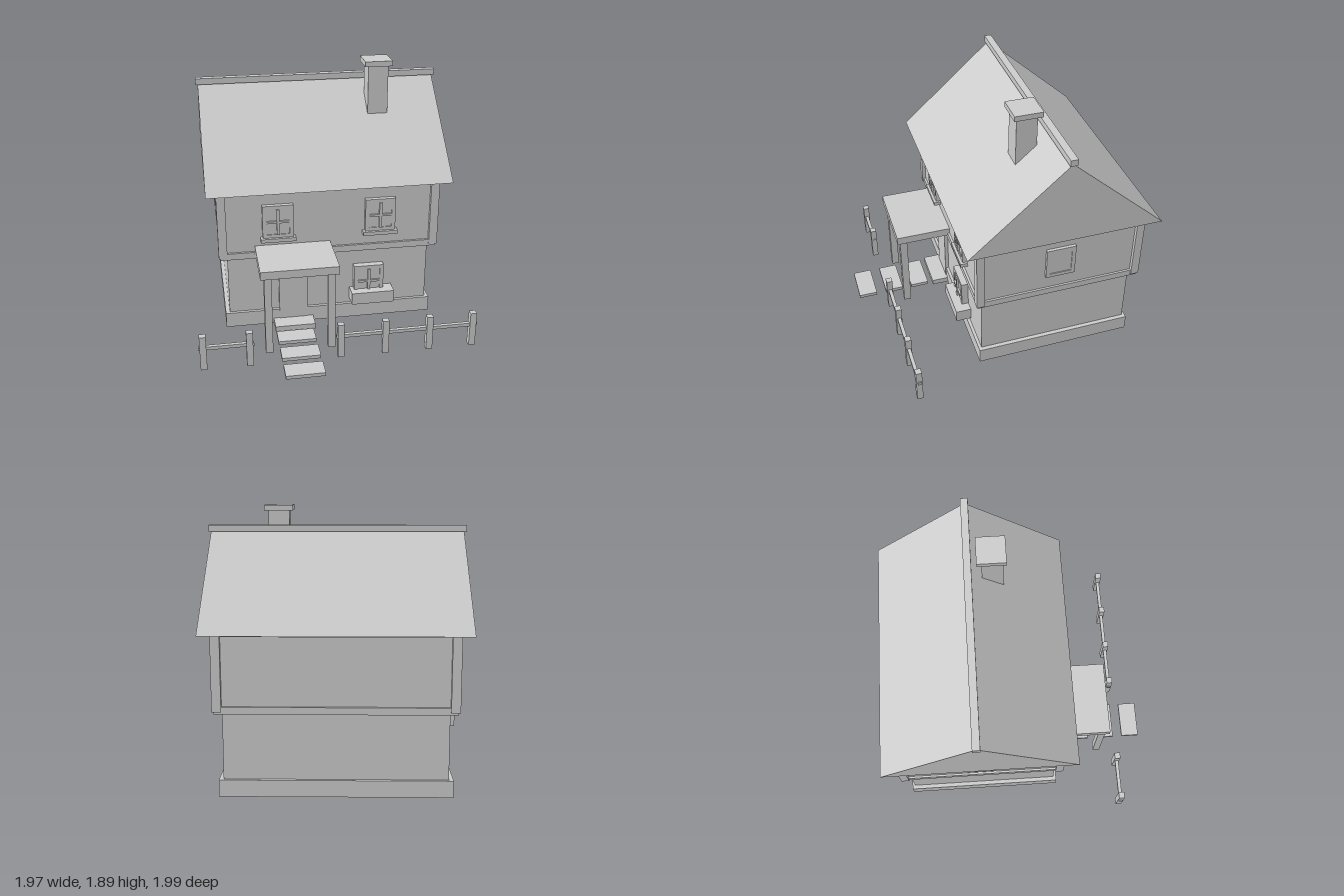
import * as THREE from 'three';

const grey = new THREE.MeshStandardMaterial({ name: 'plainGrey', color: 0xcccccc });

// Box given by its limits on each axis
function block(parent, name, [x0, x1], [y0, y1], [z0, z1]) {
  const mesh = new THREE.Mesh(new THREE.BoxGeometry(x1 - x0, y1 - y0, z1 - z0), grey);
  mesh.position.set((x0 + x1) / 2, (y0 + y1) / 2, (z0 + z1) / 2);
  mesh.name = name;
  parent.add(mesh);
  return mesh;
}

function group(parent, name) {
  const g = new THREE.Group();
  g.name = name;
  parent.add(g);
  return g;
}

const MID = -0.3; // z of the ridge and the centre of the house
const around = (half, c = 0) => [c - half, c + half];

// Window facing +z, its origin at the centre of the opening on the wall
function makeWindow(parent, name, w, h, depth, crossed) {
  const g = group(parent, name);
  const iw = w / 2 - 0.028, ih = h / 2 - 0.028;
  for (const s of [-1, 1]) {
    block(g, 'frameSide', around(0.014, s * (w / 2 - 0.014)), around(h / 2), [-0.01, depth]);
    block(g, 'frameRail', around(iw), around(0.014, s * (h / 2 - 0.014)), [-0.01, depth]);
  }
  block(g, 'glass', around(iw), around(ih), [-0.01, depth - 0.006]);
  if (crossed) {
    block(g, 'verticalBar', around(0.01), around(ih), [0, depth + 0.01]);
    block(g, 'horizontalBar', around(iw), around(0.008), [0, depth + 0.008]);
  }
  return g;
}

export function createModel() {
  const house = new THREE.Group();
  house.name = 'cottage';

  // Walls
  block(house, 'plinth', around(0.775), [0, 0.115], around(0.58, MID));
  block(house, 'lowerWalls', around(0.745), [0.115, 0.57], around(0.558, MID));
  block(house, 'upperWalls', around(0.78), [0.58, 1.1], around(0.583, MID));
  block(house, 'floorBeam', around(0.795), [0.568, 0.617], around(0.6, MID));
  for (const s of [-1, 1]) {
    block(house, 'wallPlate', around(0.78), [1.08, 1.11], around(0.02, MID + s * 0.582));
    for (const t of [-1, 1])
      block(house, 'cornerPost', around(0.031, s * 0.775), [0.585, 1.105], around(0.029, MID + t * 0.58));
  }

  // Roof: triangular section extruded along x
  const gable = new THREE.Shape();
  gable.moveTo(-0.693, 1.1);
  gable.lineTo(0.693, 1.1);
  gable.lineTo(0, 1.718);
  gable.closePath();
  const roofGeo = new THREE.ExtrudeGeometry(gable, { depth: 1.755, bevelEnabled: false });
  roofGeo.translate(0, 0, -0.8775).rotateY(Math.PI / 2);
  const roof = new THREE.Mesh(roofGeo, grey);
  roof.name = 'roof';
  roof.position.z = MID;
  house.add(roof);
  block(house, 'ridgeBeam', around(0.893), [1.715, 1.76], around(0.026, MID));

  // Chimney
  block(house, 'chimneyShaft', [0.34, 0.487], [1.45, 1.86], [-0.205, -0.058]);
  block(house, 'chimneyCap', [0.313, 0.513], [1.857, 1.895], [-0.235, -0.035]);

  // Front windows
  for (const x of [-0.376, 0.37]) {
    makeWindow(house, 'upperWindow', 0.222, 0.25, 0.033, true).position.set(x, 0.853, 0.283);
    block(house, 'windowSill', around(0.127, x), [0.702, 0.73], [0.27, 0.335]);
  }
  makeWindow(house, 'lowerWindow', 0.222, 0.25, 0.05, true).position.set(0.296, 0.315, 0.258);
  block(house, 'planterBox', [0.158, 0.476], [0.155, 0.247], [0.25, 0.37]);

  // Side windows
  for (const s of [-1, 1]) {
    const side = makeWindow(house, 'sideWindow', 0.213, 0.24, 0.022, false);
    side.position.set(s * 0.78, 0.846, MID);
    side.rotation.y = s * Math.PI / 2;
  }

  // Door and porch
  block(house, 'door', [-0.375, -0.163], [0.02, 0.47], [0.24, 0.285]);
  block(house, 'porchRoof', [-0.545, 0.005], [0.6, 0.66], [0.27, 0.688]);
  for (const x of [-0.492, -0.046])
    block(house, 'porchPost', around(0.026, x), [0, 0.6], around(0.027, 0.638));

  // Doorstep and path
  block(house, 'doorstep', [-0.42, -0.123], [0, 0.042], [0.27, 0.405]);
  for (const z of [0.51, 0.72, 0.931])
    block(house, 'pavingStone', [-0.418, -0.143], [0, 0.026], around(0.069, z));

  // Fence in two runs with a gap for the path
  const fence = group(house, 'fence');
  for (const x of [-0.958, -0.639, -0.002, 0.317, 0.636, 0.953])
    block(fence, 'fencePost', around(0.023, x), [0, 0.26], around(0.022, 0.778));
  for (const run of [[-0.99, -0.608], [-0.034, 0.984]])
    block(fence, 'fenceRail', run, [0.152, 0.177], around(0.013, 0.778));

  return house;
}
